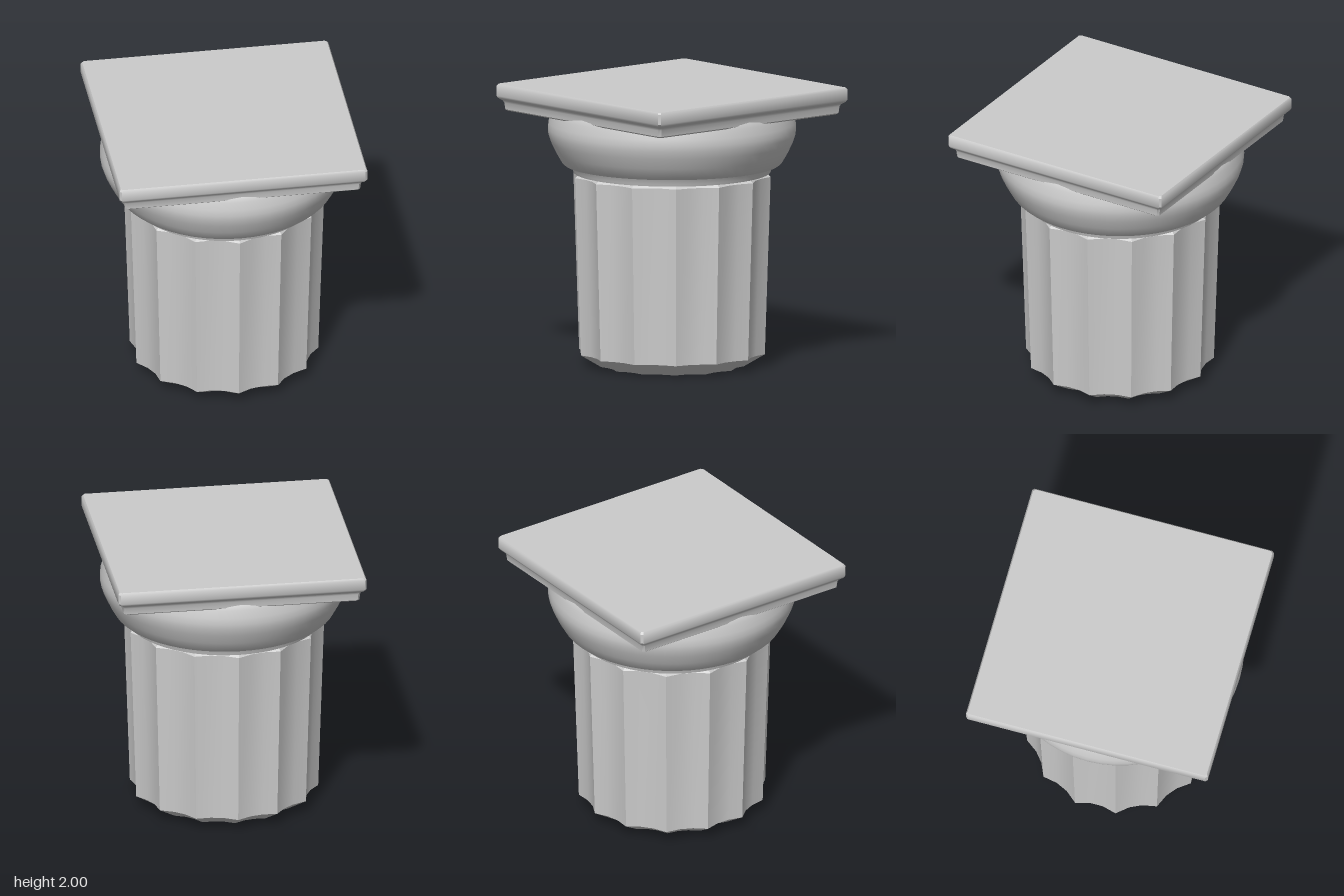
import * as THREE from 'three';
import { toCreasedNormals } from 'three/addons/utils/BufferGeometryUtils.js';

const material = new THREE.MeshStandardMaterial({ color: 0xcccccc });

// Skin a stack of outlines (arrays of [x, z]) and close both ends.
function loft(levels, outline) {
  const pos = [], index = [];
  let n = 0;
  for (const [r, y] of levels) {
    const ring = outline(r);
    n = ring.length;
    for (const [x, z] of ring) pos.push(x, y, z);
  }
  const last = (levels.length - 1) * n;
  for (let i = 0; i < last; i += n) {
    for (let j = 0; j < n; j++) {
      const a = i + j, b = i + (j + 1) % n;
      index.push(a, b, b + n, a, b + n, a + n);
    }
  }
  const bottom = pos.length / 3, top = bottom + 1;
  pos.push(0, levels[0][1], 0, 0, levels[levels.length - 1][1], 0);
  for (let j = 0; j < n; j++) {
    const k = (j + 1) % n;
    index.push(bottom, k, j, top, last + j, last + k);
  }
  const geo = new THREE.BufferGeometry();
  geo.setAttribute('position', new THREE.Float32BufferAttribute(pos, 3));
  geo.setIndex(index);
  return geo;
}

// Fourteen sharp ridges with a shallow three-sided flute between each pair.
function flutedOutline(r) {
  const ring = [];
  for (let i = 0; i < 42; i++) {
    const a = (i / 42) * Math.PI * 2;
    const d = i % 3 === 0 ? r : r * 0.937;
    ring.push([Math.sin(a) * d, Math.cos(a) * d]);
  }
  return ring;
}

// Square with slightly clipped corners.
function squareOutline(h) {
  const c = h - 0.015;
  return [[-c, h], [c, h], [h, c], [h, -c], [c, -h], [-c, -h], [-h, -c], [-h, c]];
}

function part(name, geometry, crease) {
  const mesh = new THREE.Mesh(toCreasedNormals(geometry, crease), material);
  mesh.name = name;
  return mesh;
}

export function createModel() {
  const group = new THREE.Group();
  group.name = 'columnCapital';

  // Tapered shaft with bevelled foot and top edge
  const shaft = [[0.52, 0], [0.67, 0.09], [0.712, 1.365], [0.685, 1.39]];
  group.add(part('flutedShaft', loft(shaft, flutedOutline), 0.5));

  // Round neck ring and bulging cushion
  const profile = [
    [0, 1.385], [0.7, 1.385], [0.705, 1.4], [0.715, 1.435], [0.72, 1.442], [0.765, 1.442], [0.785, 1.46],
    [0.825, 1.53], [0.86, 1.605], [0.878, 1.66], [0.882, 1.7], [0.877, 1.745],
    [0.86, 1.8], [0.845, 1.845], [0.8, 1.88], [0, 1.88],
  ].map(([r, y]) => new THREE.Vector2(r, y));
  group.add(part('cushion', new THREE.LatheGeometry(profile, 56), 0.6));

  // Square slab with a recessed lower moulding
  const slab = [
    [0.832, 1.808], [0.845, 1.818], [0.85, 1.865], [0.858, 1.882], [0.882, 1.9],
    [0.89, 1.915], [0.89, 1.985], [0.88, 2],
  ];
  group.add(part('topSlab', loft(slab, squareOutline), 0.6));

  return group;
}
